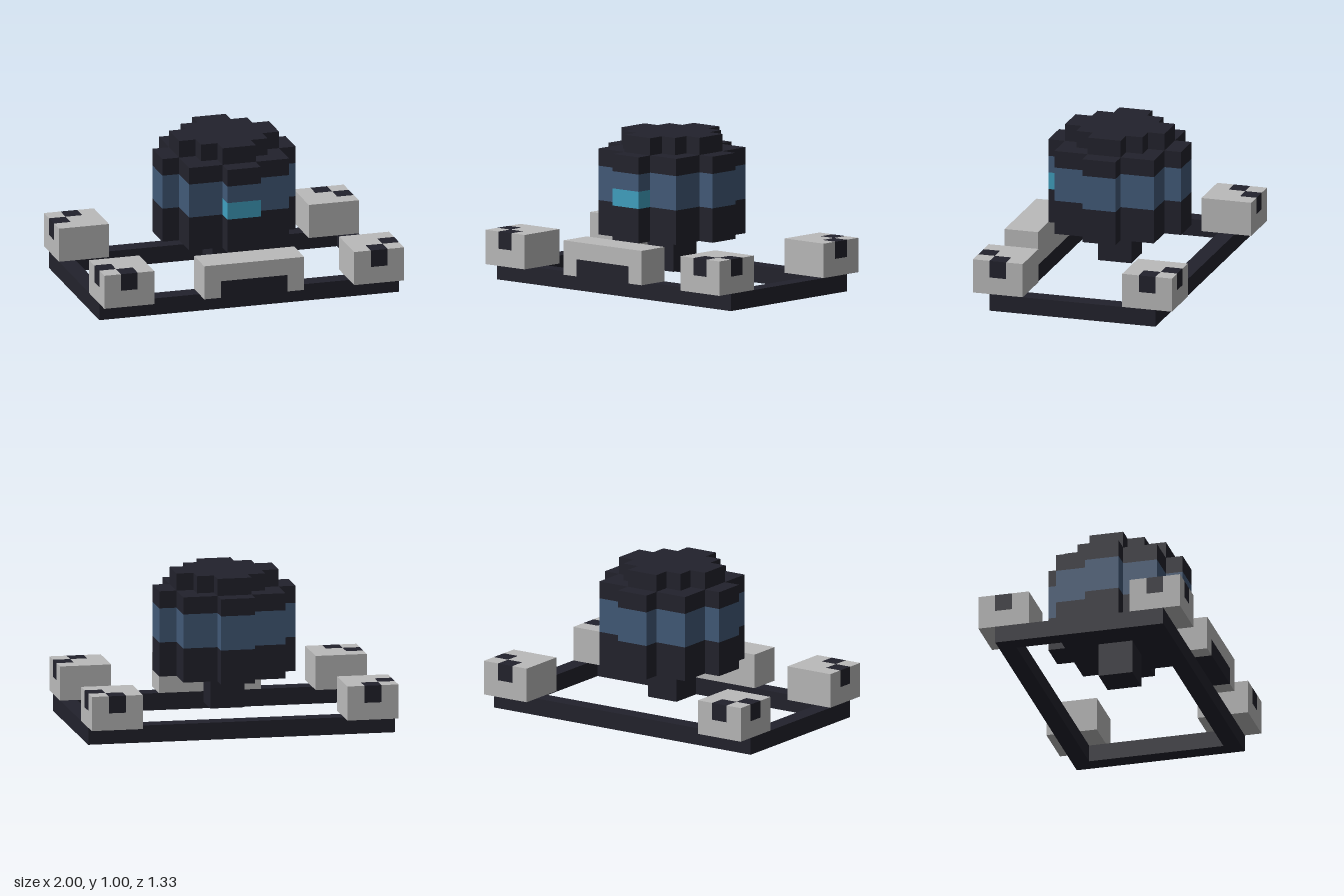
import * as THREE from 'three';

const U = 1 / 9; // one block

function material(name, color) {
  const m = new THREE.MeshStandardMaterial({ color });
  m.name = name;
  return m;
}

export function createModel() {
  const dark = material('charcoal', 0x22222c);
  const grey = material('lightGrey', 0xbababa);
  const blue = material('slateBlue', 0x425a78);
  const cyan = material('cyan', 0x40a0c0);

  const model = new THREE.Group();
  model.name = 'model';

  function add(parent, name, geometry, mat) {
    const mesh = new THREE.Mesh(geometry, mat);
    mesh.name = name;
    parent.add(mesh);
    return mesh;
  }

  // Box between two corners, in blocks
  function box(parent, name, mat, [x0, x1], [y0, y1], [z0, z1]) {
    const size = [x1 - x0, y1 - y0, z1 - z0].map((v) => Math.abs(v) * U);
    const mesh = add(parent, name, new THREE.BoxGeometry(...size), mat);
    mesh.position.set((x0 + x1) * U / 2, (y0 + y1) * U / 2, (z0 + z1) * U / 2);
  }

  // Flat outline (x, -z) raised from y0 to y1, in blocks
  function slab(parent, name, mat, points, y0, y1, hole) {
    const toVectors = (list) => list.map(([x, y]) => new THREE.Vector2(x * U, y * U));
    const shape = new THREE.Shape(toVectors(points));
    if (hole) shape.holes.push(new THREE.Path(toVectors(hole)));
    const geometry = new THREE.ExtrudeGeometry(shape, { depth: (y1 - y0) * U, bevelEnabled: false });
    geometry.rotateX(-Math.PI / 2).translate(0, y0 * U, 0);
    add(parent, name, geometry, mat);
  }

  const rectangle = (x, z) => [[-x, -z], [x, -z], [x, z], [-x, z]];

  // Stepped round outline from one quarter, turned four times
  function steppedRound(quarter) {
    const points = [];
    let part = quarter;
    for (let i = 0; i < 4; i++) {
      points.push(...part);
      part = part.map(([x, y]) => [-y, x]);
    }
    return points;
  }

  // Base frame
  slab(model, 'baseFrame', dark, rectangle(9, 5), 0, 1, rectangle(8, 4));

  // Corner blocks with two dark inlays each
  for (const sx of [1, -1]) {
    for (const sz of [1, -1]) {
      const corner = new THREE.Group();
      corner.name = `${sz > 0 ? 'front' : 'back'}${sx > 0 ? 'Left' : 'Right'}Corner`;
      model.add(corner);
      const piece = (name, mat, x, y, z) =>
        box(corner, name, mat, x.map((v) => v * sx), y, z.map((v) => v * sz));
      piece('cornerBase', grey, [6, 9], [1, 2], [3, 6]);
      piece('cornerInner', grey, [6, 7], [2, 3], [3, 6]);
      piece('cornerMiddle', grey, [7, 8], [2, 3], [3, 5]);
      piece('cornerSide', grey, [8, 9], [2, 3], [3, 4]);
      piece('cornerTip', grey, [8, 9], [2, 3], [5, 6]);
      piece('endInlay', dark, [7, 8], [2, 3], [5, 6]);
      piece('sideInlay', dark, [8, 9], [2, 3], [4, 5]);
    }
  }

  // Front block with a dark mouth
  const front = new THREE.Group();
  front.name = 'frontBlock';
  model.add(front);
  box(front, 'frontBack', grey, [-3, 3], [1, 3], [4, 5]);
  box(front, 'frontTop', grey, [-3, 3], [2, 3], [5, 6]);
  box(front, 'frontEndRight', grey, [-3, -2], [1, 2], [5, 6]);
  box(front, 'frontEndLeft', grey, [2, 3], [1, 2], [5, 6]);
  box(front, 'frontMouth', dark, [-2, 2], [1, 2], [5, 6]);

  // Stepped round body on its neck
  const body = new THREE.Group();
  body.name = 'body';
  model.add(body);
  const wide = steppedRound([[4, -1], [4, 1], [3, 1], [3, 3], [1, 3]]);
  const narrow = steppedRound([[3, -1], [3, 1], [2, 1], [2, 2], [1, 2]]);
  const frontless = wide.filter(([, y]) => y > -4); // leaves room for the eye
  box(body, 'neck', dark, [-1, 1], [1, 3], [-1, 1]);
  slab(body, 'bodyLower', dark, wide, 3, 5);
  slab(body, 'bandLower', blue, frontless, 5, 6);
  slab(body, 'bandUpper', blue, wide, 6, 7);
  slab(body, 'bodyUpper', dark, wide, 7, 8);
  slab(body, 'bodyCap', dark, narrow, 8, 9);
  box(body, 'eye', cyan, [-1, 1], [5, 6], [3, 4]);

  return model;
}
